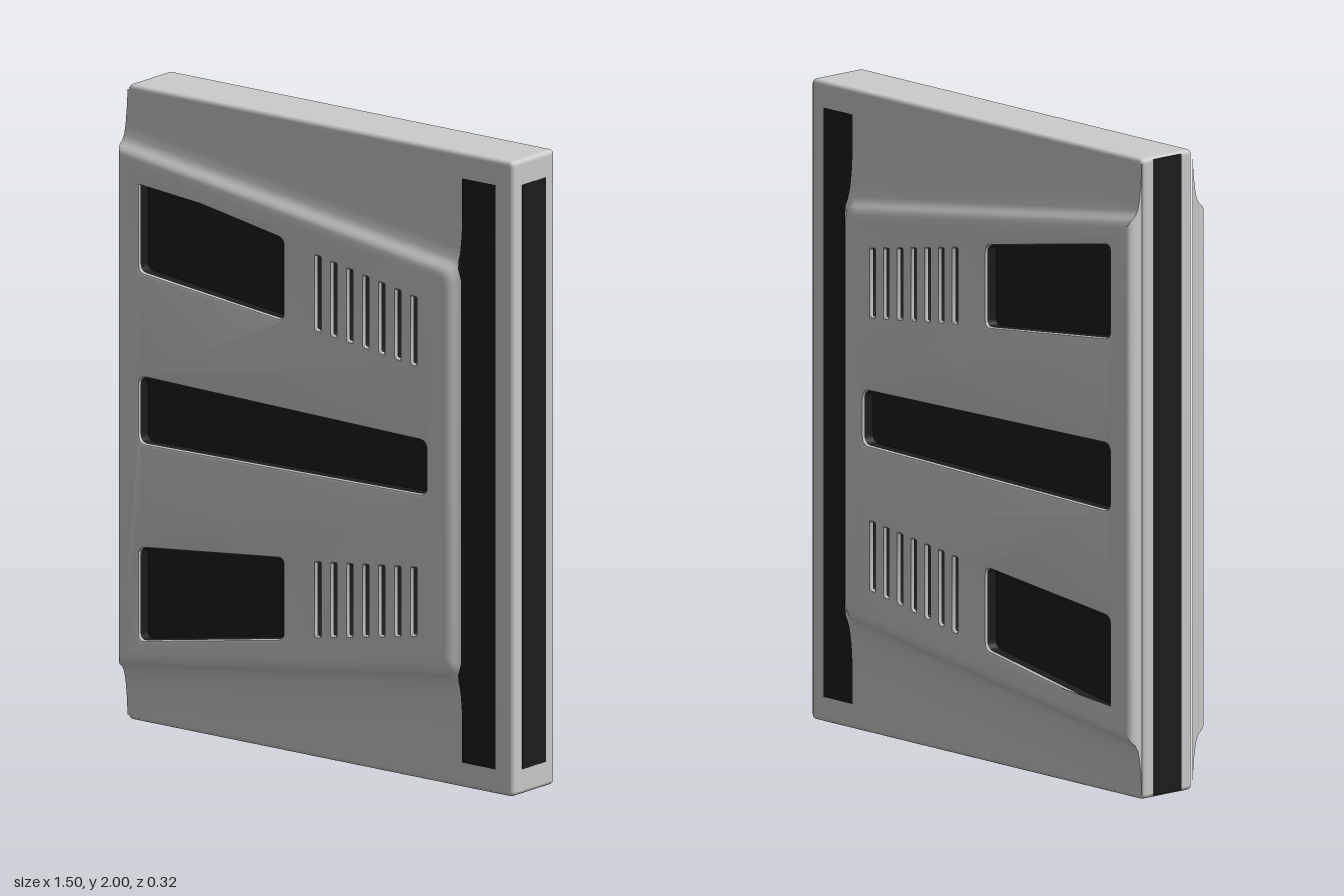
import * as THREE from 'three';
import { mergeGeometries, toCreasedNormals } from 'three/addons/utils/BufferGeometryUtils.js';
import { RoundedBoxGeometry } from 'three/addons/geometries/RoundedBoxGeometry.js';

const grey = new THREE.MeshStandardMaterial({ color: 0xcccccc });
const dark = new THREE.MeshStandardMaterial({ color: 0x1c1c1c });

const LEFT = -0.747;
// Raised panel profile: [outset from panel edge, height z, inset of the flush end]
const PROFILE = [
  [0.17, 0.104, 0], [0.11, 0.108, 0], [0.06, 0.114, 0], [0.03, 0.121, 0], [0.014, 0.13, 0],
  [0.004, 0.142, 0], [-0.006, 0.152, 0.004], [-0.02, 0.158, 0.012], [-0.035, 0.16, 0.025],
];
const halfHeight = (x) => 0.815 - 0.138 * (x - LEFT);

// Corner points to a loop with rounded corners
function roundLoop(pts, radii) {
  const out = [];
  pts.forEach((p, i) => {
    const r = Array.isArray(radii) ? radii[i] : radii;
    if (!r) { out.push(p.clone()); return; }
    const prev = pts[(i + pts.length - 1) % pts.length], next = pts[(i + 1) % pts.length];
    const toward = (q) => p.clone().add(q.clone().sub(p).setLength(r));
    out.push(...new THREE.QuadraticBezierCurve(toward(prev), p, toward(next)).getPoints(5));
  });
  return out;
}

// Skin between successive closed loops [points, z]
function loft(rings) {
  const pos = [];
  for (let k = 0; k < rings.length - 1; k++) {
    const [a, za] = rings[k], [b, zb] = rings[k + 1];
    for (let i = 0; i < a.length; i++) {
      const j = (i + 1) % a.length;
      pos.push(a[i].x, a[i].y, za, a[j].x, a[j].y, za, b[j].x, b[j].y, zb);
      pos.push(a[i].x, a[i].y, za, b[j].x, b[j].y, zb, b[i].x, b[i].y, zb);
    }
  }
  return new THREE.BufferGeometry().setAttribute('position', new THREE.Float32BufferAttribute(pos, 3));
}

function flatFace(points, z, holes = []) {
  const shape = new THREE.Shape(points);
  shape.holes = holes.map((h) => new THREE.Path(h));
  const g = new THREE.ShapeGeometry(shape).toNonIndexed().translate(0, 0, z);
  g.deleteAttribute('uv');
  g.deleteAttribute('normal');
  return g;
}

const merged = (list, angle = 0.6) => toCreasedNormals(mergeGeometries(list), angle);

// Opening: four corners given as x0, x1 and the lower/upper y at each end
function opening(x0, x1, low0, low1, high1, high0, r) {
  const corners = [[x0, low0], [x1, low1], [x1, high1], [x0, high0]];
  const cx = (x0 + x1) / 2, cy = (low0 + high0) / 2;
  return (o) => roundLoop(corners.map(([x, y]) =>
    new THREE.Vector2(x + Math.sign(x - cx) * o, y + Math.sign(y - cy) * o)), r);
}

function panelOpenings() {
  const windows = [opening(-0.66, 0.455, -0.105, -0.085, 0.085, 0.105, 0.03)];
  const vents = [];
  for (const s of [1, -1]) {
    const add = (list, x0, x1, l0, l1, h1, h0, r) => list.push(s > 0
      ? opening(x0, x1, l0, l1, h1, h0, r)
      : opening(x0, x1, -h0, -h1, -l1, -l0, r));
    add(windows, -0.66, -0.1, 0.435, 0.375, 0.63, 0.728, 0.025);
    for (let i = 0; i < 7; i++) {
      const x = 0.036 + i * 0.062, lo = 0.367 - i * 0.0075, hi = 0.6 - i * 0.011;
      add(vents, x - 0.009, x + 0.009, lo, lo - 0.002, hi - 0.003, hi, 0.005);
    }
  }
  return { windows, vents };
}

function panelRing([d, , inset]) {
  const x0 = LEFT + inset, x1 = 0.545 + d;
  const y0 = halfHeight(x0) + d, y1 = halfHeight(x1) + d;
  const V = (x, y) => new THREE.Vector2(x, y);
  return roundLoop([V(x0, -y0), V(x1, -y1), V(x1, y1), V(x0, y0)], [0, 0.04, 0.04, 0]);
}

// Height of the flared skirt at a point outside the raised panel
function skirtHeight(x, y) {
  const d = Math.max(x - 0.545, Math.abs(y) - halfHeight(x));
  for (let i = 0; i < PROFILE.length - 1; i++) {
    const [d0, z0] = PROFILE[i], [d1, z1] = PROFILE[i + 1];
    if (d >= d0) return z0;
    if (d >= d1) return z0 + (z1 - z0) * (d0 - d) / (d0 - d1);
  }
  return 0.16;
}

function createFace(name) {
  const face = new THREE.Group();
  face.name = name;
  const { windows, vents } = panelOpenings();
  const all = [...windows, ...vents];

  // Raised panel with flared skirt, pierced top and softened opening rims
  const rings = PROFILE.map((p) => [panelRing(p), p[1]]);
  const lip = (o) => (windows.includes(o) ? 0.009 : 0.004);
  const parts = [loft(rings), flatFace(rings[rings.length - 1][0], 0.16, all.map((o) => o(lip(o))))];
  all.forEach((o) => parts.push(loft([[o(lip(o)), 0.16], [o(lip(o) * 0.3), 0.157], [o(0), 0.15]])));
  const panel = new THREE.Mesh(merged(parts), grey);
  panel.name = 'raisedPanel';
  face.add(panel);

  // Dark pockets below the openings
  for (const [label, list] of [['windowRecesses', windows], ['ventSlots', vents]]) {
    const geos = list.flatMap((o) => [loft([[o(0), 0.15], [o(0), 0.115]]), flatFace(o(0), 0.115)]);
    const pocket = new THREE.Mesh(merged(geos), dark);
    pocket.name = label;
    face.add(pocket);
  }

  // Dark strip that follows the skirt along the panel's end
  const strip = new THREE.PlaneGeometry(1, 1.84, 10, 92);
  const pos = strip.attributes.position;
  for (let i = 0; i < pos.count; i++) {
    const y = pos.getY(i);
    const x0 = 0.555 + 0.012 * THREE.MathUtils.clamp((0.66 - Math.abs(y)) / 0.06, 0, 1);
    const x = THREE.MathUtils.lerp(x0, 0.685, pos.getX(i) + 0.5);
    pos.setXYZ(i, x, y, Math.max(0.106, skirtHeight(x, y)) + 0.003);
  }
  strip.computeVertexNormals();
  const stripMesh = new THREE.Mesh(strip, dark);
  stripMesh.name = 'faceStrip';
  face.add(stripMesh);
  return face;
}

export function createModel() {
  const model = new THREE.Group();
  model.name = 'ventedPanel';

  // Slab
  const slab = new THREE.Mesh(new RoundedBoxGeometry(1.494, 2, 0.21, 3, 0.015), grey);
  slab.name = 'slab';
  slab.position.y = 1;
  model.add(slab);

  // Matching front and back faces
  const front = createFace('frontFace');
  front.position.y = 1;
  const back = createFace('backFace');
  back.position.y = 1;
  back.rotation.x = Math.PI;
  model.add(front, back);

  // Dark strips on the two narrow edges
  for (const [name, x, h] of [['leftEdgeStrip', 0.744, 1.84], ['rightEdgeStrip', -0.744, 1.985]]) {
    const strip = new THREE.Mesh(new THREE.BoxGeometry(0.01, h, 0.114), dark);
    strip.name = name;
    strip.position.set(x, 1, 0);
    model.add(strip);
  }
  return model;
}
